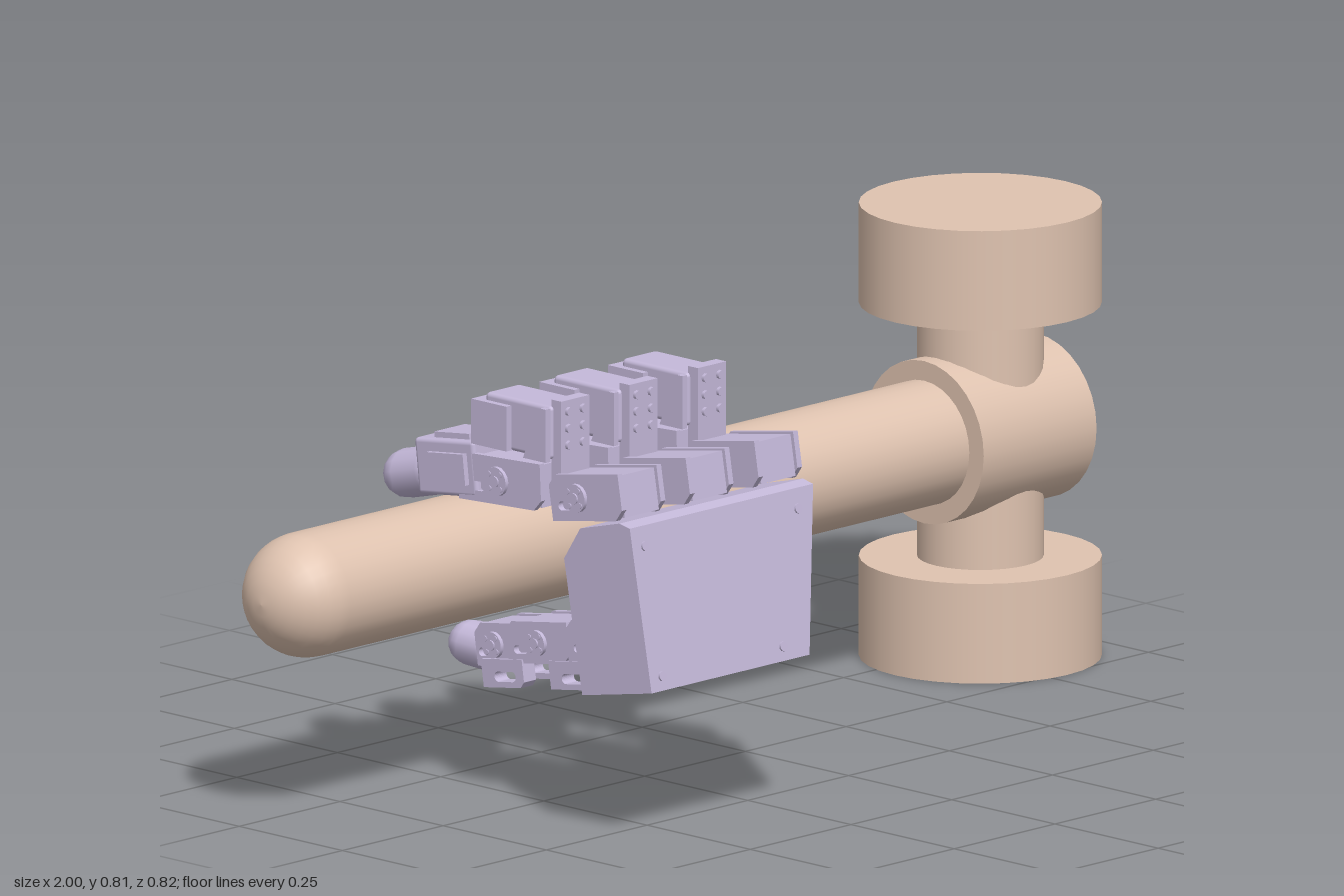
import * as THREE from 'three';
import { RoundedBoxGeometry } from 'three/addons/geometries/RoundedBoxGeometry.js';

const tan = new THREE.MeshStandardMaterial({ color: 0xdfc3b0 });
const lilac = new THREE.MeshStandardMaterial({ color: 0xc5b9da });
const AXIS_Y = 0.405, AXIS_Z = -0.197;

function add(parent, name, geometry, material, x = 0, y = 0, z = 0) {
  const mesh = new THREE.Mesh(geometry, material);
  mesh.name = name;
  mesh.position.set(x, y, z);
  parent.add(mesh);
  return mesh;
}

// A flat outline [u, y] thickened by w about its middle, with optional round-ended slots
function plate(points, w, slots = []) {
  const shape = new THREE.Shape(points.map(p => new THREE.Vector2(...p)));
  for (const [x0, x1, y, r] of slots) {
    const hole = new THREE.Path();
    hole.absarc(x0, y, r, Math.PI / 2, Math.PI * 1.5, false);
    hole.absarc(x1, y, r, -Math.PI / 2, Math.PI / 2, false);
    hole.closePath();
    shape.holes.push(hole);
  }
  return new THREE.ExtrudeGeometry(shape, { depth: w, bevelEnabled: false, curveSegments: 6 }).translate(0, 0, -w / 2);
}

// Group whose local x runs backwards (-z), local y up and local z across the hand
function sideFrame(parent, name, x, y, z, tilt = 0) {
  const g = new THREE.Group();
  g.name = name;
  g.position.set(x, y, z);
  g.rotation.set(0, Math.PI / 2, tilt);
  parent.add(g);
  return g;
}

// One jointed link: motor body, cheek plates, pivot horns with screws
function link(parent, name, x, y, z, len, h, w, tilt, pivot = -0.2) {
  const g = sideFrame(parent, name, x, y, z, tilt);
  add(g, 'motorBody', new THREE.BoxGeometry(len * 0.92, h * 0.9, w * 0.74), lilac);
  const a = len / 2, b = h / 2, c = h * 0.22;
  const outline = [[-a, -b + c], [-a + c, -b], [a, -b], [a, b - c], [a - c, b], [-a, b]];
  for (const s of [-1, 1]) {
    add(g, 'cheekPlate', plate(outline, w * 0.1, [[a * 0.45, a * 0.7, -b * 0.35, h * 0.1]]), lilac, 0, 0, s * w * 0.42);
    const px = pivot * len;
    add(g, 'pivotHorn', new THREE.CylinderGeometry(h * 0.31, h * 0.31, 0.012, 16).rotateX(Math.PI / 2), lilac, px, 0, s * w * 0.48);
    add(g, 'pivotCap', new THREE.CylinderGeometry(h * 0.12, h * 0.12, 0.018, 10).rotateX(Math.PI / 2), lilac, px, 0, s * w * 0.48);
    for (let i = 0; i < 4; i++) {
      const t = i * Math.PI / 2 + Math.PI / 4;
      add(g, 'screw', new THREE.CylinderGeometry(0.005, 0.005, 0.016, 6).rotateX(Math.PI / 2), lilac,
        px + Math.cos(t) * h * 0.22, Math.sin(t) * h * 0.22, s * w * 0.48);
    }
  }
  return g;
}

// Rounded fingertip
function tip(parent, name, x, y, z, tilt, len, r) {
  const g = sideFrame(parent, name, x, y, z, tilt);
  const pad = add(g, 'fingerPad', new THREE.CapsuleGeometry(r, len - 2 * r, 5, 14).rotateZ(Math.PI / 2), lilac);
  pad.scale.y = 0.95;
}

function buildHammer() {
  const g = new THREE.Group();
  g.name = 'hammer';
  const r = 0.11;
  // Handle with a domed end
  const profile = [];
  for (let i = 0; i <= 8; i++) {
    const t = i / 8 * Math.PI / 2;
    profile.push(new THREE.Vector2(r * Math.sin(t), -r * Math.cos(t)));
  }
  profile.push(new THREE.Vector2(r, 1.54));
  add(g, 'handle', new THREE.LatheGeometry(profile, 32).rotateZ(-Math.PI / 2), tan, -0.89, AXIS_Y, AXIS_Z);
  add(g, 'collar', new THREE.CylinderGeometry(0.145, 0.145, 0.28, 32).rotateZ(Math.PI / 2), tan, 0.785, AXIS_Y, AXIS_Z);
  add(g, 'neck', new THREE.CylinderGeometry(r, r, 0.5, 32), tan, 0.785, AXIS_Y, AXIS_Z);
  for (const s of [-1, 1]) {
    add(g, 'strikingHead', new THREE.CylinderGeometry(0.211, 0.211, 0.178, 32), tan, 0.785, AXIS_Y + s * 0.315, AXIS_Z);
  }
  return g;
}

function buildPalm() {
  const g = new THREE.Group();
  g.name = 'palm';
  // Side outline of the shell, tapering inwards on its lower inner flank
  const outline = [[-0.408, 0.29], [-0.24, 0.258], [-0.215, 0.39], [-0.196, 0.495], [-0.235, 0.555], [-0.33, 0.58], [-0.355, 0.575]];
  const geo = plate(outline, 0.455).rotateY(Math.PI / 2).translate(-0.423, 0, 0);
  const p = geo.attributes.position;
  for (let i = 0; i < p.count; i++) {
    if (p.getX(i) > -0.4) p.setX(i, p.getX(i) - Math.max(0, 0.5 - p.getY(i)) * 0.3);
  }
  geo.computeVertexNormals();
  add(g, 'palmShell', geo, lilac);
  // Ribs and bosses on the inner flank
  const ribs = [[0.45, 0.325, 0.1, 0.03, 0.3], [0.47, 0.295, 0.07, 0.025, -0.4], [0.34, 0.285, 0.035, 0.06, 0.1], [0.42, 0.31, 0.03, 0.05, 0.5]];
  for (const [y, z, h, d, turn] of ribs) {
    const rib = add(g, 'flankRib', new THREE.BoxGeometry(0.04, h, d), lilac, -0.205 - (0.5 - y) * 0.3, y, z);
    rib.rotation.x = turn;
  }
  // Screw heads on the back of the hand
  for (const [x, y, z] of [[-0.62, 0.315, 0.403], [-0.32, 0.315, 0.403], [-0.62, 0.54, 0.361], [-0.24, 0.54, 0.361]]) {
    const screw = add(g, 'shellScrew', new THREE.CylinderGeometry(0.009, 0.009, 0.008, 10).rotateX(Math.PI / 2), lilac, x, y, z);
    screw.rotation.x = -0.18;
  }
  return g;
}

function buildFinger(x) {
  const g = new THREE.Group();
  g.name = 'finger';
  link(g, 'knuckle', x, 0.61, 0.243, 0.172, 0.082, 0.115, -0.17, 0.12);
  // Upright bracket and motor standing on the knuckle
  const bracket = new THREE.Group();
  bracket.name = 'uprightBracket';
  g.add(bracket);
  add(bracket, 'frontPlate', new THREE.BoxGeometry(0.07, 0.16, 0.024), lilac, x, 0.685, 0.154);
  add(bracket, 'motor', new RoundedBoxGeometry(0.085, 0.095, 0.16, 2, 0.008), lilac, x, 0.706, 0.068);
  add(bracket, 'motorCover', new THREE.BoxGeometry(0.11, 0.08, 0.085), lilac, x, 0.7, 0.01);
  for (const s of [-1, 1]) {
    const side = sideFrame(bracket, 'sideWeb', x + s * 0.046, 0.7, 0.12);
    add(side, 'web', plate([[-0.025, -0.045], [0.03, -0.045], [0.012, 0], [0.012, 0.035], [-0.012, 0.05], [-0.025, 0.05]], 0.012), lilac);
    for (const dy of [-0.03, 0, 0.03]) {
      add(bracket, 'plateBolt', new THREE.CylinderGeometry(0.008, 0.008, 0.008, 8).rotateX(Math.PI / 2), lilac, x + s * 0.018, 0.715 + dy, 0.168);
    }
  }
  link(g, 'middleLink', x, 0.602, 0.03, 0.2, 0.084, 0.105, -0.05, 0.02);
  // Outer motor block and tip lying on the handle
  const outer = sideFrame(g, 'outerLink', x, 0.604, -0.1, -0.12);
  add(outer, 'motorBlock', new RoundedBoxGeometry(0.145, 0.1, 0.1, 2, 0.008), lilac);
  add(outer, 'topCover', new THREE.BoxGeometry(0.085, 0.02, 0.075), lilac, -0.01, 0.05, 0);
  for (const s of [-1, 1]) add(outer, 'sideCover', new THREE.BoxGeometry(0.09, 0.055, 0.014), lilac, -0.01, 0, s * 0.053);
  tip(g, 'fingerTip', x, 0.57, -0.208, -0.25, 0.15, 0.046);
  return g;
}

function buildThumb() {
  const g = new THREE.Group();
  g.name = 'thumb';
  const x = -0.485, tilt = -0.15;
  link(g, 'thumbBase', x, 0.322, 0.17, 0.15, 0.074, 0.12, tilt, 0.07);
  link(g, 'thumbMiddle', x, 0.295, 0.025, 0.15, 0.074, 0.12, tilt, 0);
  link(g, 'thumbOuter', x, 0.272, -0.085, 0.09, 0.076, 0.11, tilt, 0);
  tip(g, 'thumbTip', x, 0.248, -0.165, 0.05, 0.13, 0.042);
  // Slotted lugs under the links
  for (const [y, z] of [[0.246, 0.108], [0.222, -0.055]]) {
    for (const s of [-1, 1]) {
      const lug = sideFrame(g, 'slottedLug', x + s * 0.045, y, z, tilt);
      add(lug, 'lugPlate', plate([[-0.05, -0.01], [-0.04, -0.02], [0.05, -0.02], [0.05, 0.03], [-0.05, 0.03]], 0.03, [[-0.022, 0.012, -0.001, 0.009]]), lilac);
    }
  }
  // Mount joining the thumb to the palm
  add(g, 'thumbMount', new THREE.BoxGeometry(0.16, 0.08, 0.07), lilac, x, 0.325, 0.225);
  return g;
}

export function createModel() {
  const model = new THREE.Group();
  model.name = 'handHoldingHammer';
  const hand = new THREE.Group();
  hand.name = 'roboticHand';
  hand.add(buildPalm(), buildThumb());
  for (const x of [-0.592, -0.423, -0.253]) hand.add(buildFinger(x));
  model.add(buildHammer(), hand);
  return model;
}
